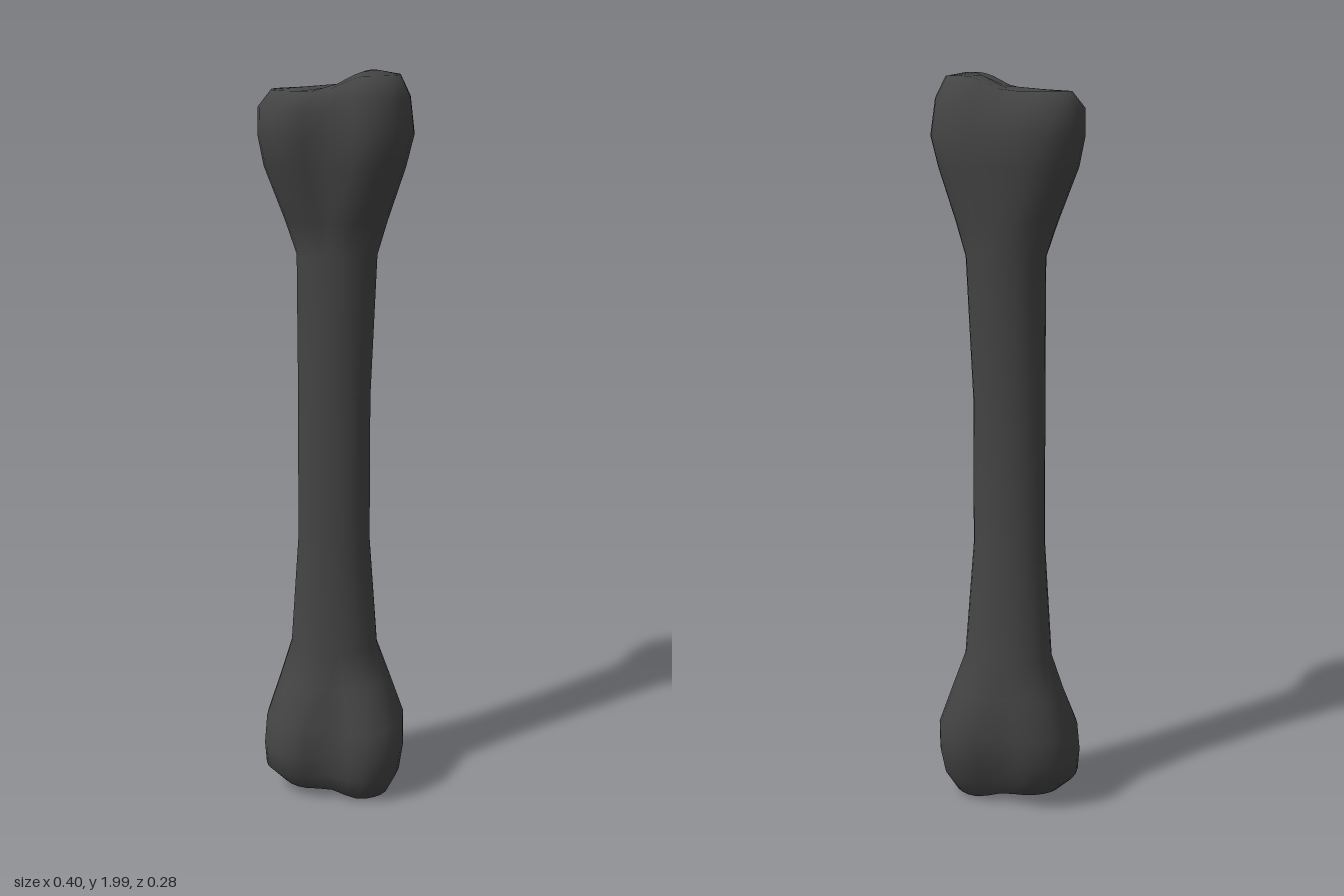
import * as THREE from 'three';

const SIDES = 28;

// Cross-sections from bottom to top:
// y, xMin, xMax, zMin, zMax, front groove, back groove, height shift on the +x lobe
const SECTIONS = [
  [0.04, -0.08, 0.10, -0.04, 0.05, 0.05, 0.05, -0.028],
  [0.042, -0.145, 0.15, -0.07, 0.115, 0.22, 0.12, -0.022],
  [0.09, -0.195, 0.18, -0.108, 0.14, 0.28, 0.18, -0.01],
  [0.15, -0.2, 0.19, -0.13, 0.15, 0.28, 0.15, 0],
  [0.23, -0.195, 0.187, -0.146, 0.142, 0.24, 0.08, 0],
  [0.34, -0.16, 0.147, -0.13, 0.1, 0.1, 0, 0],
  [0.44, -0.13, 0.11, -0.117, 0.073, 0, 0, 0],
  [0.75, -0.107, 0.09, -0.085, 0.07, 0, 0, 0],
  [1.15, -0.105, 0.09, -0.083, 0.07, 0, 0, 0],
  [1.53, -0.108, 0.105, -0.108, 0.073, 0, 0, 0],
  [1.62, -0.137, 0.132, -0.116, 0.092, 0.04, 0, 0],
  [1.76, -0.185, 0.18, -0.128, 0.137, 0.18, 0, 0],
  [1.84, -0.2, 0.2, -0.137, 0.149, 0.24, 0.02, 0],
  [1.91, -0.197, 0.19, -0.118, 0.148, 0.25, 0.05, 0.025],
  [1.952, -0.165, 0.165, -0.085, 0.115, 0.22, 0.05, 0.038],
  [1.957, -0.09, 0.11, -0.04, 0.06, 0.1, 0, 0.043],
];

const signedPow = (v, p) => Math.sign(v) * Math.abs(v) ** p;

// One rounded outline, pinched at the middle of its front and back
function sectionPoint([y, x0, x1, z0, z1, front, back, shift], i) {
  const a = (i / SIDES) * Math.PI * 2;
  const knob = THREE.MathUtils.clamp((x1 - x0 - 0.22) / 0.15, 0, 1);
  const p = 1 - 0.22 * knob;
  const c = signedPow(Math.cos(a), p), s = signedPow(Math.sin(a), p);
  const x = (x0 + x1) / 2 + c * (x1 - x0) / 2;
  const groove = Math.exp(-((x / 0.055) ** 2)) * (s > 0 ? front : back);
  const z = (z0 + z1) / 2 + s * (z1 - z0) / 2 * (1 - groove);
  return [x, y + shift * THREE.MathUtils.smoothstep(x, -0.03, 0.09), z];
}

function boneGeometry() {
  const pos = [], index = [];
  for (const sec of SECTIONS) {
    for (let i = 0; i < SIDES; i++) pos.push(...sectionPoint(sec, i));
  }
  // Skin between neighbouring sections
  const last = (SECTIONS.length - 1) * SIDES;
  for (let r = 0; r < last; r += SIDES) {
    for (let i = 0; i < SIDES; i++) {
      const j = (i + 1) % SIDES;
      const a = r + i, b = r + j, c = a + SIDES, d = b + SIDES;
      index.push(a, c, b, b, c, d);
    }
  }
  // End caps, each with a slight dip at the centre
  const bottom = pos.length / 3, top = bottom + 1;
  pos.push(0.01, 0.036, 0.005, 0.01, 1.966, 0.01);
  for (let i = 0; i < SIDES; i++) {
    const j = (i + 1) % SIDES;
    index.push(bottom, i, j, top, last + j, last + i);
  }
  const geo = new THREE.BufferGeometry();
  geo.setAttribute('position', new THREE.Float32BufferAttribute(pos, 3));
  geo.setIndex(index);
  geo.computeVertexNormals();
  return geo;
}

export function createModel() {
  const group = new THREE.Group();
  group.name = 'longBone';
  const bone = new THREE.Mesh(boneGeometry(), new THREE.MeshStandardMaterial({ color: 0x444444 }));
  bone.name = 'bone';
  group.add(bone);
  return group;
}
